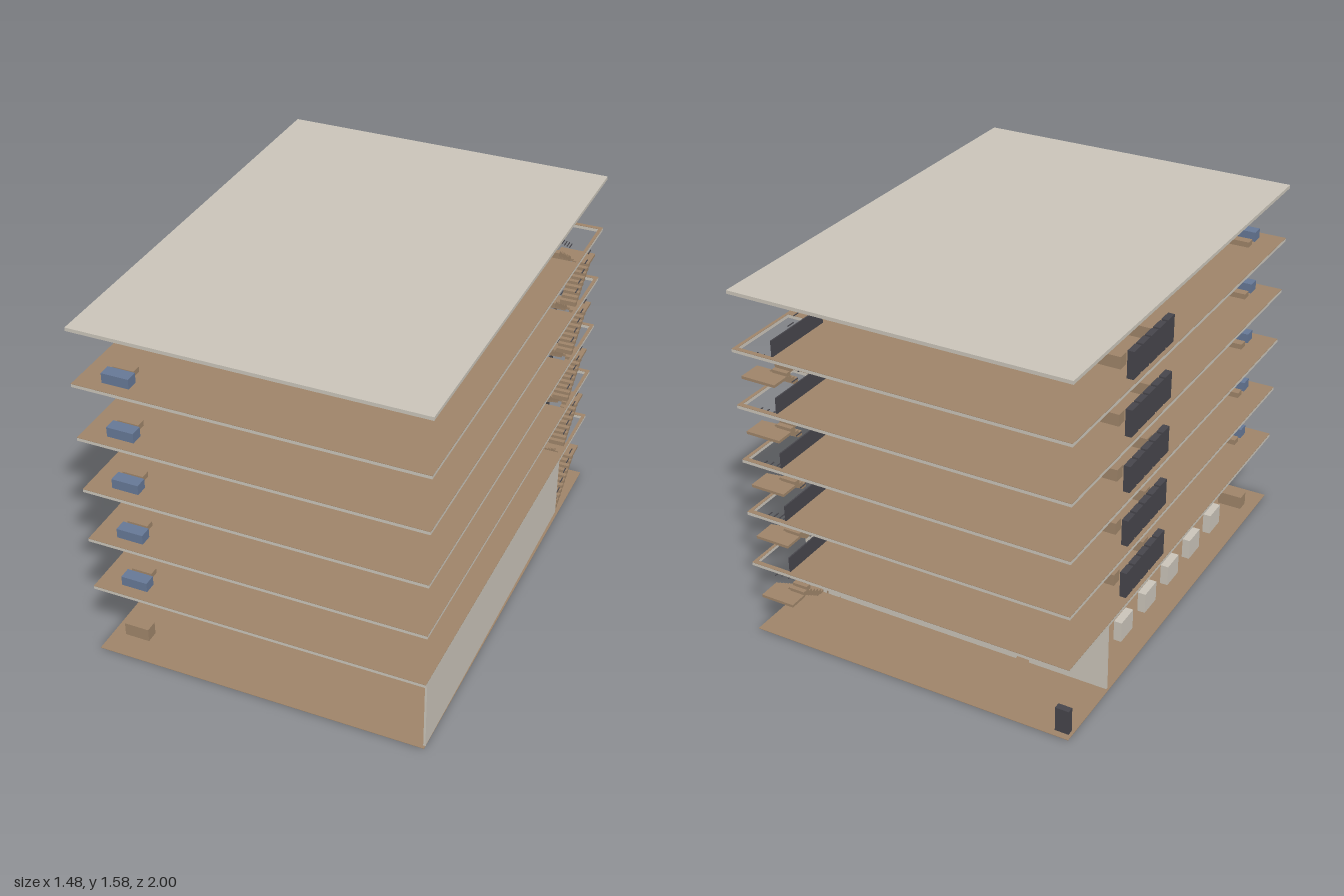
import * as THREE from 'three';

const mat = (name, color) => {
  const m = new THREE.MeshStandardMaterial({ color });
  m.name = name;
  return m;
};

export function createModel() {
  const concrete = mat('concrete', 0xcac4b9);
  const wood = mat('brown', 0x9e8469);
  const fabric = mat('blue', 0x667896);
  const dark = mat('charcoal', 0x46454b);

  const model = new THREE.Group();
  model.name = 'building';

  // Box given by its minimum and maximum on each axis
  const box = (parent, name, m, x0, x1, y0, y1, z0, z1) => {
    const mesh = new THREE.Mesh(new THREE.BoxGeometry(x1 - x0, y1 - y0, z1 - z0), m);
    mesh.position.set((x0 + x1) / 2, (y0 + y1) / 2, (z0 + z1) / 2);
    mesh.name = name;
    parent.add(mesh);
    return mesh;
  };

  const group = (name) => {
    const g = new THREE.Group();
    g.name = name;
    model.add(g);
    return g;
  };

  // Horizontal plate with a slightly skewed outline and optional stairwell
  const plate = (parent, name, m, y, thickness, stairwell) => {
    const pts = (list) => list.map(([x, z]) => new THREE.Vector2(x, -z));
    const shape = new THREE.Shape(pts([[-0.74, 1], [0.722, 1], [0.737, -1], [-0.733, -1]]));
    if (stairwell) {
      shape.holes.push(new THREE.Path(pts([[0.565, -0.655], [0.565, -0.98], [0.722, -0.98], [0.722, -0.655]])));
    }
    const geo = new THREE.ExtrudeGeometry(shape, { depth: thickness, bevelEnabled: false });
    geo.rotateX(-Math.PI / 2);
    const mesh = new THREE.Mesh(geo, m);
    mesh.position.y = y;
    mesh.name = name;
    parent.add(mesh);
  };

  const pitch = 0.2475;
  const floorY = [0, 1, 2, 3, 4].map((i) => 0.341 + i * pitch);
  const roofY = 0.341 + 5 * pitch;

  // One flight of steps with floating rail bars along its edge
  const flight = (parent, x0, x1, zStart, zEnd, y0, y1, steps, railX) => {
    const dz = (zEnd - zStart) / steps;
    const dy = (y1 - y0) / steps;
    for (let i = 0; i < steps; i++) {
      const za = zStart + i * dz;
      const zb = za + dz * 1.25;
      const top = y0 + (i + 1) * dy;
      box(parent, 'step', wood, x0, x1, Math.max(0.001, top - dy * 1.5), top, Math.min(za, zb), Math.max(za, zb));
      if (i % 2 === 0) {
        const zc = za + dz / 2;
        box(parent, 'railBar', dark, railX - 0.002, railX + 0.002, top + 0.052, top + 0.055, zc - 0.019, zc + 0.019);
      }
    }
  };

  const staircase = (bottom, top, zFoot, zHead, steps) => {
    const g = group('staircase');
    const mid = (bottom + top) / 2;
    flight(g, 0.648, 0.718, zFoot, -0.9, bottom, mid, steps, 0.715);
    box(g, 'landing', wood, 0.562, 0.718, mid - 0.012, mid, -0.98, -0.895);
    flight(g, 0.562, 0.632, -0.9, zHead, mid, top - 0.002, steps, 0.63);
  };

  // Ground storey
  const ground = group('groundStorey');
  plate(ground, 'groundFloor', wood, 0.0015, 0.002, false);
  box(ground, 'sideWall', concrete, 0.713, 0.722, 0, 0.327, -0.645, 0.985);

  // Rear wall with a doorway in each main section
  const rearWall = (x0, x1, door) => {
    const y1 = 0.327, z0 = -0.655, z1 = -0.645;
    if (!door) return box(ground, 'rearWall', concrete, x0, x1, 0, y1, z0, z1);
    box(ground, 'rearWall', concrete, x0, door[0], 0, y1, z0, z1);
    box(ground, 'rearWall', concrete, door[1], x1, 0, y1, z0, z1);
    box(ground, 'doorHead', concrete, door[0], door[1], 0.14, y1, z0, z1);
  };
  rearWall(-0.725, 0.556, [-0.372, -0.31]);
  rearWall(0.563, 0.62);
  rearWall(0.63, 0.722, [0.646, 0.706]);
  box(ground, 'doorPost', wood, 0.62, 0.627, 0, 0.327, -0.656, -0.646);

  // Rows of low free-standing blocks
  for (let i = 0; i < 8; i++) {
    for (let j = 0; j < 6; j++) {
      const x = -0.624 + i * 0.16;
      const z = 0.625 - j * 0.23;
      box(ground, 'block', concrete, x - 0.0175, x + 0.0175, 0, 0.098, z - 0.055, z + 0.055);
    }
  }
  box(ground, 'receptionDesk', wood, -0.685, -0.573, 0.003, 0.064, 0.83, 0.885);
  box(ground, 'rearCabinet', dark, -0.72, -0.66, 0.003, 0.115, -0.972, -0.943);
  box(ground, 'rearStool', wood, -0.71, -0.68, 0.003, 0.02, -0.945, -0.932);

  // Upper storeys
  floorY.forEach((y, i) => {
    const g = group('upperStorey');
    plate(g, 'slab', concrete, y - 0.015, 0.0135, true);
    plate(g, 'floorFinish', wood, y - 0.0015, 0.0015, true);

    // Sofa and low table
    box(g, 'sofa', fabric, -0.637, -0.52, y, y + 0.043, 0.895, 0.948);
    box(g, 'lowTable', wood, -0.637, -0.545, y, y + 0.024, 0.825, 0.865);

    // Two rows of desks
    for (let k = 0; k < 5; k++) {
      const x = -0.59 + k * 0.239;
      for (const z of [-0.142, -0.41]) {
        box(g, 'desk', wood, x - 0.05, x + 0.05, y, y + 0.052, z - 0.024, z + 0.024);
      }
    }

    // Tall cabinets along the side
    for (let k = 0; k < 5; k++) {
      const z = -0.16 - k * 0.0735;
      box(g, 'cabinet', dark, -0.718, -0.69, y, y + 0.117, z - 0.031, z + 0.031);
    }
    box(g, 'stairScreen', dark, 0.557, 0.563, y, y + 0.069, -0.982, -0.65);

    // Stairs rising to this storey
    if (i === 0) staircase(0, y, -0.65, -0.65, 12);
    else staircase(floorY[i - 1], y, -0.72, -0.71, 9);
  });

  // Roof
  plate(model, 'roof', concrete, roofY - 0.015, 0.015, false);
  return model;
}
